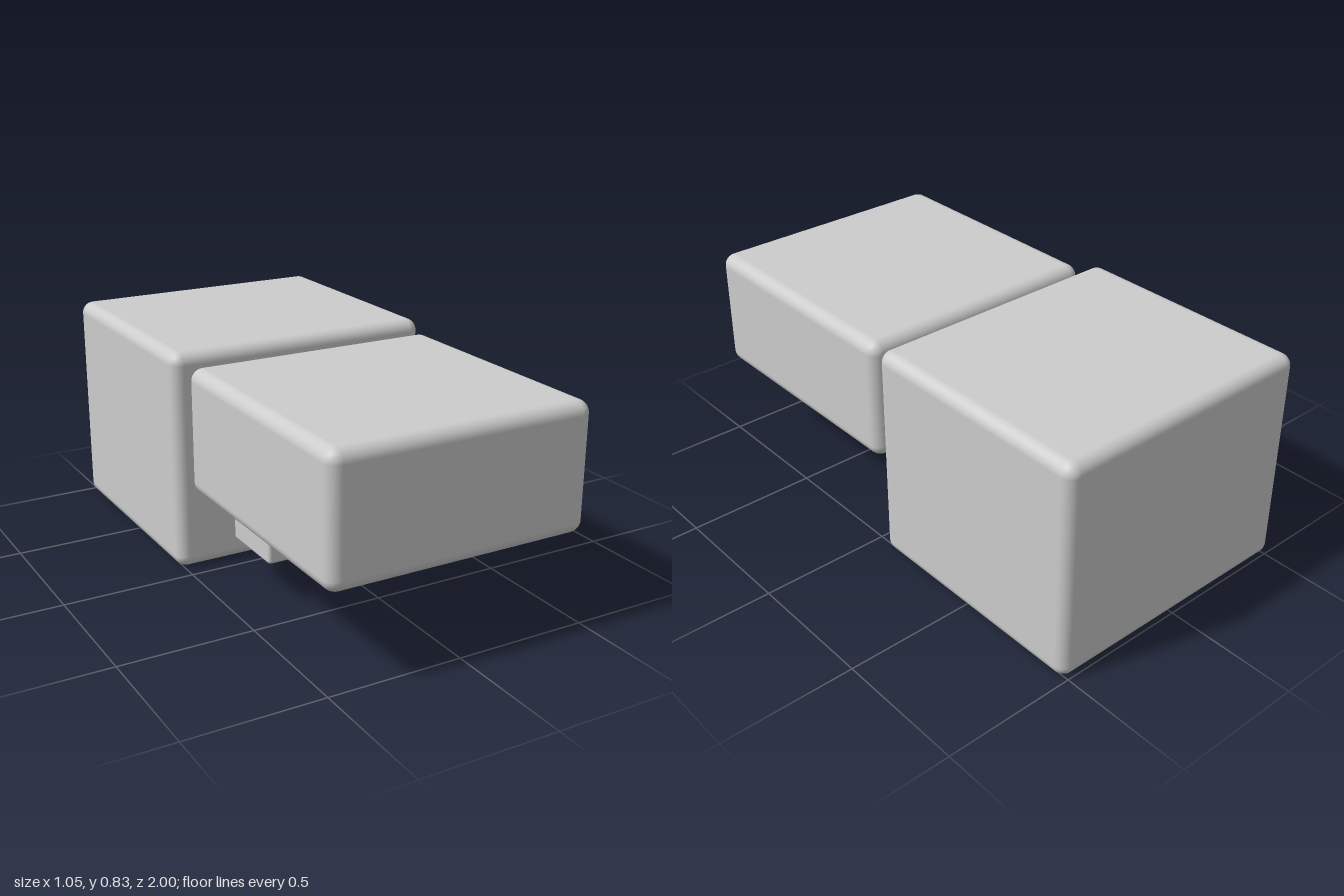
import * as THREE from 'three';
import { RoundedBoxGeometry } from 'three/addons/geometries/RoundedBoxGeometry.js';

export function createModel() {
  const model = new THREE.Group();
  const lightGrey = new THREE.MeshStandardMaterial({ color: 0xcccccc });
  lightGrey.name = 'lightGrey';

  // Rounded block given by its minimum and maximum corners
  function block(name, min, max, radius) {
    const size = max.map((v, i) => v - min[i]);
    const mesh = new THREE.Mesh(new RoundedBoxGeometry(...size, 5, radius), lightGrey);
    mesh.position.set(...max.map((v, i) => (v + min[i]) / 2));
    mesh.name = name;
    model.add(mesh);
  }

  // Large block at the back, standing on the ground
  block('backBlock', [-0.526, 0, -1], [0.526, 0.834, -0.056], 0.045);

  // Lower, raised block at the front
  block('frontBlock', [-0.498, 0.336, 0.003], [0.498, 0.806, 1], 0.047);

  // Two small blocks hanging under the front block
  for (const [name, x] of [['outerSmallBlock', -0.361], ['innerSmallBlock', -0.181]]) {
    block(name, [x, 0.149, 0.074], [x + 0.137, 0.327, 0.348], 0.013);
  }

  // Tiny ball under the front block
  const ball = new THREE.Mesh(new THREE.SphereGeometry(0.01, 20, 14), lightGrey);
  ball.position.set(0.22, 0.301, 0.233);
  ball.name = 'smallBall';
  model.add(ball);

  return model;
}
